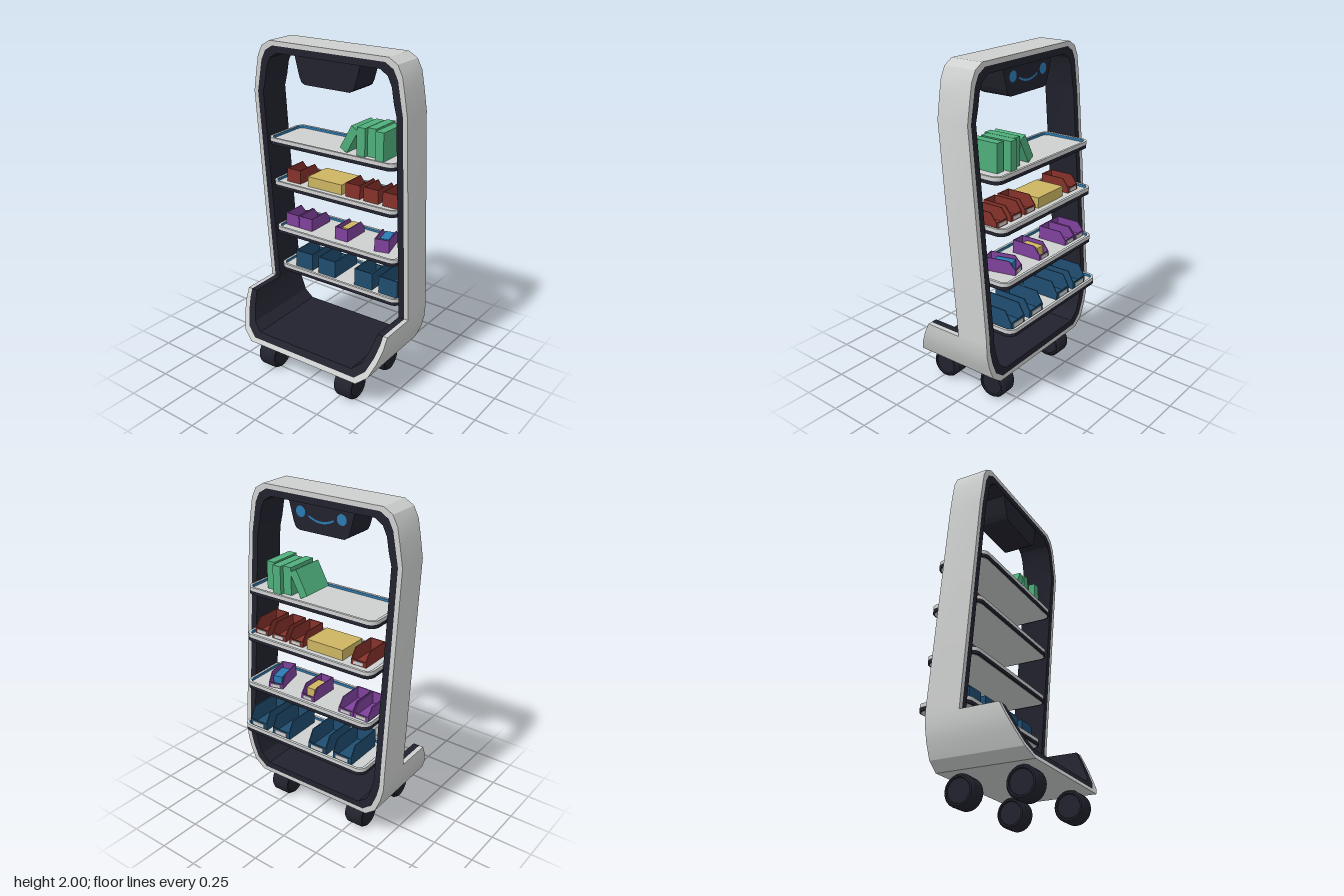
import * as THREE from 'three';
import { toCreasedNormals } from 'three/addons/utils/BufferGeometryUtils.js';

const mat = (name, color) => {
  const m = new THREE.MeshStandardMaterial({ color });
  m.name = name;
  return m;
};

export function createModel() {
  const light = mat('light grey', 0xced0cf), dark = mat('dark navy', 0x22222e);
  const blue = mat('accent blue', 0x2a7ab2), green = mat('book green', 0x4fae7b);
  const red = mat('bin red', 0x86322a), yellow = mat('box yellow', 0xcdb562);
  const purple = mat('bin purple', 0x7f429c), navy = mat('bin navy', 0x1f4d70);

  const model = new THREE.Group();
  model.name = 'shelfCart';
  const body = new THREE.Group();
  body.name = 'body';
  body.rotation.y = 0.028;
  model.add(body);

  const add = (name, geo, material, x = 0, y = 0, z = 0, parent = body) => {
    const m = new THREE.Mesh(geo, material);
    m.name = name;
    m.position.set(x, y, z);
    parent.add(m);
    return m;
  };
  const box = (name, material, w, h, d, x, y, z, parent) =>
    add(name, new THREE.BoxGeometry(w, h, d), material, x, y, z, parent);

  // Frame: a closed loop whose front and back edges follow the side profile
  const { lerp, clamp } = THREE.MathUtils;
  const frontZ = (y, lower) => lower ? 0.345 - (y - 0.18) * 0.49
    : lerp(-0.023, 0.078, clamp((y - 0.46) / 1.25, 0, 1));
  const backZ = y => lerp(-0.228, -0.124, clamp((y - 0.49) / 1.21, 0, 1));
  const rows = [[0.39, 0.18, 1], [0.455, 0.23, 1], [0.49, 0.315, 1], [0.508, 0.39, 1], [0.512, 0.46, 1],
    [0.512, 0.46, 0], [0.512, 0.49, 0], [0.512, 1.7, 0], [0.492, 1.82, 0], [0.475, 1.91, 0],
    [0.445, 1.968, 0], [0.39, 2, 0]];
  const loop = [...rows, ...rows.map(([x, y, l]) => [-x, y, l]).reverse()];
  const offsetLoop = t => loop.map(([x, y, l]) => {
    const yy = Math.abs(y - 1.09) > 0.65 ? 1.09 + (y - 1.09) * (0.91 - t) / 0.91 : y;
    const xx = x * (1 - t / 0.512);
    return { f: [xx, yy, frontZ(yy, l)], b: [xx, yy, backZ(yy)] };
  });
  const outer = offsetLoop(0), middle = offsetLoop(0.027), inner = offsetLoop(0.066);
  const strip = (a, b) => {
    const pos = [];
    a.forEach((p, i) => {
      const j = (i + 1) % a.length;
      pos.push(...p, ...b[i], ...b[j], ...p, ...b[j], ...a[j]);
    });
    const g = new THREE.BufferGeometry();
    g.setAttribute('position', new THREE.Float32BufferAttribute(pos, 3));
    return toCreasedNormals(g, 0.5);
  };
  const F = l => l.map(p => p.f), B = l => l.map(p => p.b);
  add('outerShell', strip(F(outer), B(outer)), light);
  add('shellFrontRim', strip(F(middle), F(outer)), light);
  add('shellBackRim', strip(B(outer), B(middle)), light);
  add('liningFrontRim', strip(F(inner), F(middle)), dark);
  add('liningBackRim', strip(B(middle), B(inner)), dark);
  add('innerLining', strip(B(inner), F(inner)), dark);

  // Head panel hanging from the top bar, with the face on the back
  const head = new THREE.Shape([[-0.22, 1.95], [-0.185, 1.82], [-0.172, 1.793], [-0.15, 1.78],
    [0.15, 1.78], [0.172, 1.793], [0.185, 1.82], [0.22, 1.95]].map(p => new THREE.Vector2(...p)));
  add('headPanel', new THREE.ExtrudeGeometry(head, { depth: 0.19, bevelEnabled: false }), dark, 0, 0, -0.118);
  for (const s of [-1, 1]) {
    const eye = add('eye', new THREE.CircleGeometry(0.031, 24), blue, s * 0.135, 1.885, -0.121);
    eye.rotation.y = Math.PI;
  }
  const smile = new THREE.Shape();
  smile.moveTo(-0.085, 1.865);
  smile.quadraticCurveTo(0, 1.815, 0.085, 1.865);
  smile.lineTo(0.08, 1.874);
  smile.quadraticCurveTo(0, 1.83, -0.08, 1.874);
  add('smile', new THREE.ShapeGeometry(smile), blue, 0, 0, 0.121 - 0.242).rotation.y = Math.PI;

  // Shelf trays: dark slab, light lip with a blue inner edge
  const rounded = (w, d, r, Type = THREE.Shape) => {
    const s = new Type(), x = w / 2 - r, y = d / 2 - r, q = Math.PI / 2;
    [[x, y], [-x, y], [-x, -y], [x, -y]].forEach(([cx, cy], i) => s.absarc(cx, cy, r, i * q, (i + 1) * q));
    s.closePath();
    return s;
  };
  const slab = (shape, depth) => new THREE.ExtrudeGeometry(shape, { depth, bevelEnabled: false, curveSegments: 6 })
    .rotateX(-Math.PI / 2);
  const frame = (w, d, r, t) => {
    const s = rounded(w, d, r);
    s.holes.push(rounded(w - 2 * t, d - 2 * t, r - t, THREE.Path));
    return s;
  };
  const W = 0.872, D = 0.324;
  for (const [y, z] of [[1.388, -0.092], [1.107, -0.122], [0.798, -0.14], [0.524, -0.18]]) {
    const shelf = new THREE.Group();
    shelf.name = 'shelf';
    shelf.position.set(0, y, z);
    body.add(shelf);
    add('shelfUnderside', slab(rounded(W - 0.02, D - 0.02, 0.04), 0.003), light, 0, -0.002, 0, shelf);
    add('shelfBase', slab(rounded(W, D, 0.05), 0.021), dark, 0, 0, 0, shelf);
    add('shelfTop', slab(rounded(W - 0.01, D - 0.01, 0.045), 0.005), light, 0, 0.021, 0, shelf);
    add('shelfLip', slab(frame(W, D, 0.05, 0.014), 0.021), light, 0, 0.021, 0, shelf);
    add('shelfLightStrip', slab(frame(W - 0.028, D - 0.028, 0.036, 0.004), 0.019), blue, 0, 0.021, 0, shelf);
  }

  // Books on the top shelf
  for (const [x, back] of [[0.187, -0.187], [0.244, -0.21], [0.315, -0.175]])
    box('book', green, 0.054, 0.165, 0.2, x, 1.497, back + 0.1);
  const lean = box('leaningBook', green, 0.052, 0.158, 0.2, 0.105, 1.497, -0.092);
  lean.rotation.z = -0.5;

  // Open storage bins, low lip and label facing the back
  const bin = (material, w, h, d, x, y, z, turn = 0, content = null) => {
    const g = new THREE.Group();
    g.name = 'storageBin';
    g.position.set(x, y, z);
    g.rotation.y = turn;
    body.add(g);
    const t = 0.006, lip = h * 0.38;
    const side = new THREE.Shape([[-d / 2, 0], [d / 2, 0], [d / 2, lip], [d / 2 - 0.04, h], [-d / 2, h]]
      .map(p => new THREE.Vector2(...p)));
    const plate = new THREE.ExtrudeGeometry(side, { depth: t, bevelEnabled: false })
      .translate(0, 0, -t / 2).rotateY(Math.PI / 2);
    for (const s of [-1, 1]) add('binSide', plate, material, s * (w - t) / 2, 0, 0, g);
    box('binFloor', material, w - t, t, d - t, 0, t / 2, 0, g);
    box('binTallWall', material, w - t, h, t, 0, h / 2, d / 2 - t / 2, g);
    box('binLowLip', material, w - t, lip, t, 0, lip / 2, -d / 2 + t / 2, g);
    box('binLabel', light, w * 0.65, lip * 0.6, 0.004, 0, lip * 0.5, -d / 2 - 0.002, g);
    if (content) box('binContent', content, w - 0.035, h * 0.75, d * 0.6, 0, h * 0.42, -0.01, g);
    return g;
  };
  for (const x of [-0.32, 0.108, 0.232, 0.36]) bin(red, 0.098, 0.085, 0.19, x, 1.134, -0.125);
  box('parcel', yellow, 0.245, 0.062, 0.19, -0.092, 1.165, -0.125);
  for (const x of [-0.362, -0.26]) bin(purple, 0.098, 0.08, 0.19, x, 0.825, -0.155);
  bin(purple, 0.09, 0.08, 0.19, 0.008, 0.825, -0.155, 0, yellow);
  bin(purple, 0.09, 0.08, 0.19, 0.27, 0.825, -0.155, 0.24, blue);
  for (const x of [-0.28, -0.105, 0.165, 0.34]) bin(navy, 0.127, 0.11, 0.245, x, 0.55, -0.19);

  // Wheels with chamfered edges and recessed hubs
  const profile = [[0, -0.054], [0.066, -0.054], [0.07, -0.062], [0.08, -0.06], [0.09, -0.045],
    [0.09, 0.045], [0.08, 0.06], [0.07, 0.062], [0.066, 0.054], [0, 0.054]].map(p => new THREE.Vector2(...p));
  const wheel = toCreasedNormals(new THREE.LatheGeometry(profile, 28).toNonIndexed(), 0.5).rotateZ(Math.PI / 2);
  for (const x of [-0.285, 0.285]) for (const z of [0.242, -0.12]) {
    add('wheel', wheel, dark, x, 0.09, z);
    box('wheelMount', dark, 0.05, 0.06, 0.05, x, 0.165, z);
  }
  return model;
}
